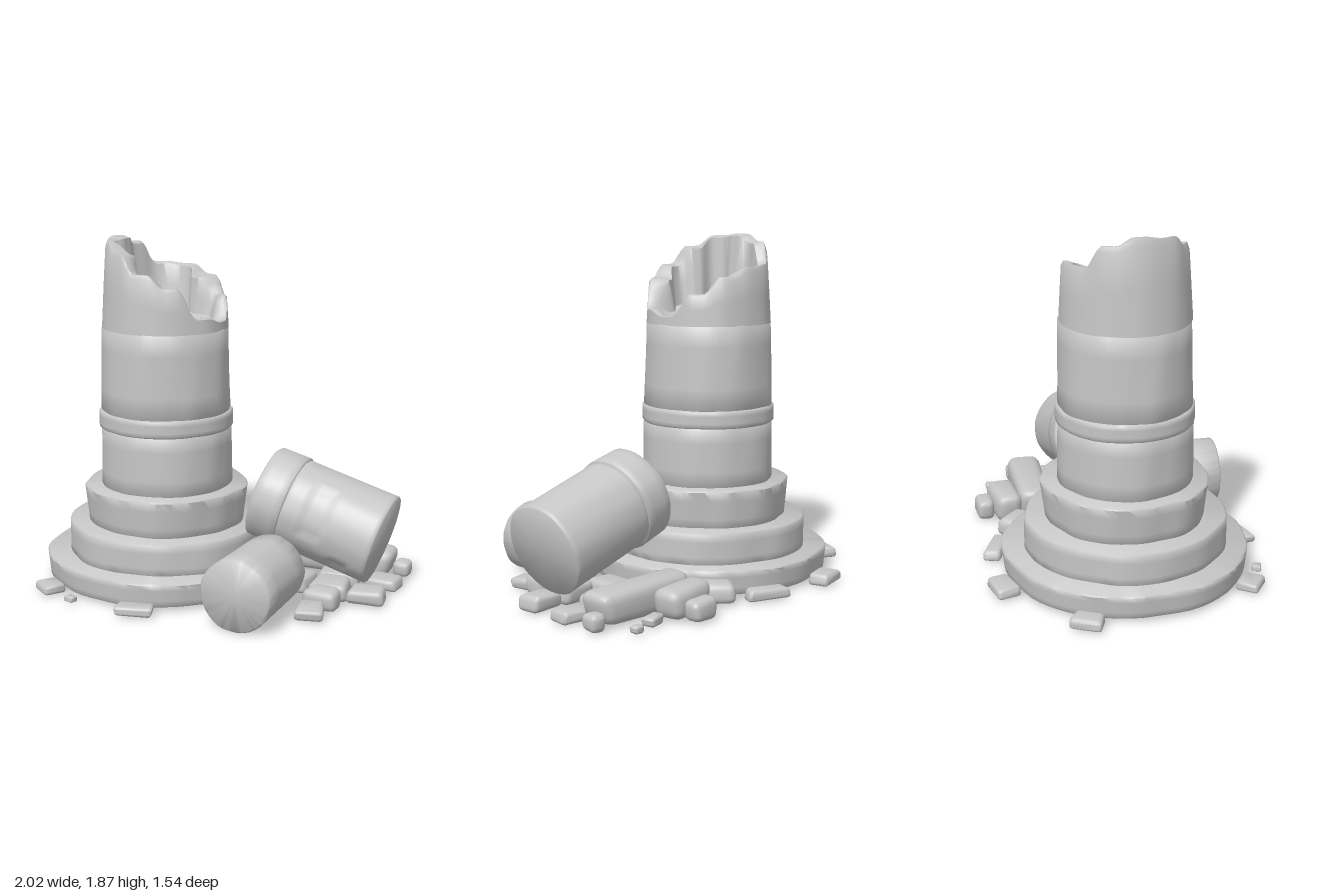
import * as THREE from 'three';
import { mergeVertices, toCreasedNormals } from 'three/addons/utils/BufferGeometryUtils.js';
import { RoundedBoxGeometry } from 'three/addons/geometries/RoundedBoxGeometry.js';

const stone = new THREE.MeshStandardMaterial({ color: 0xc6c6c6 });
stone.name = 'weathered stone';

// Moves every vertex by a rule, closes seams and rebuilds creased normals.
function reshape(geo, rule, crease) {
  geo.deleteAttribute('uv');
  geo.deleteAttribute('normal');
  geo = mergeVertices(geo, 1e-4);
  const p = geo.attributes.position, v = new THREE.Vector3();
  for (let i = 0; i < p.count; i++) {
    rule(v.fromBufferAttribute(p, i));
    p.setXYZ(i, v.x, v.y, v.z);
  }
  return toCreasedNormals(geo, crease);
}

// Gentle irregularity around the axis, as on worn stone.
const wear = (a, y, seed) =>
  0.5 * Math.sin(5 * a + seed + 3 * y) + 0.3 * Math.sin(9 * a + seed * 2.3) + 0.2 * Math.sin(14 * a - seed + 7 * y);

function lathe(profile, segments, rule) {
  const geo = new THREE.LatheGeometry(profile.map(([r, y]) => new THREE.Vector2(r, y)), segments);
  return reshape(geo, rule, 0.9);
}

// Solid worn disc with softened rims; rows of extra rings allow dents.
function drum(name, rBottom, rTop, y0, y1, amount, seed, dent = () => 0, rows = 4) {
  const e = 0.008, profile = [[0, y0], [rBottom - e, y0]];
  for (let i = 0; i <= rows; i++) {
    const t = i / rows;
    profile.push([rBottom + (rTop - rBottom) * t, y0 + e + (y1 - y0 - 2 * e) * t]);
  }
  profile.push([rTop - e, y1], [0, y1]);
  const geo = lathe(profile, 64, (v) => {
    const r = Math.hypot(v.x, v.z);
    if (r < 0.01) return;
    const a = Math.atan2(v.z, v.x);
    const k = (r + amount * wear(a, v.y, seed) - dent(a, v.y, r)) / r;
    v.x *= k;
    v.z *= k;
  });
  const mesh = new THREE.Mesh(geo, stone);
  mesh.name = name;
  return mesh;
}

// Stepped lookup around the circle: flat ledges with short steep joins.
function ledge(table, a) {
  const f = (((a / (2 * Math.PI)) % 1) + 1) % 1 * table.length;
  const i = Math.floor(f), t = THREE.MathUtils.smoothstep(f - i, 0.2, 0.8);
  return THREE.MathUtils.lerp(table[i % table.length], table[(i + 1) % table.length], t);
}

// Hollow, snapped-off top of the column.
function brokenTop() {
  const rim = [1.45, 1.48, 1.64, 1.71, 1.81, 1.87, 1.88, 1.84, 1.72, 1.71, 1.66, 1.57];
  const inner = [0.3, 0.28, 0.22, 0.25, 0.21, 0.27, 0.22, 0.26, 0.27, 0.27, 0.2, 0.28];
  // Row numbers stand in for heights; the rule turns them into real ones.
  const profile = [];
  for (let row = 0; row <= 9; row++) profile.push([0.36 - row * 0.04, row]);
  const geo = lathe(profile, 96, (v) => {
    const a = Math.atan2(v.z, v.x), row = Math.round(v.y);
    const h = ledge(rim, a), rIn = ledge(inner, a);
    const floor = Math.min(h - 0.015, 1.47 - 0.04 * Math.cos(a));
    const taper = (y) => 0.343 - (y - 1.4) * 0.06 + 0.004 * wear(a, y, 2);
    let r, y;
    if (row <= 3) {
      y = 1.4 + (h - 1.4) * [0, 0.5, 0.93, 1][row];
      r = taper(y) - (row === 3 ? 0.01 : 0);
    } else if (row === 4) {
      y = h;
      r = (taper(h) + rIn) / 2;
    } else if (row <= 7) {
      const t = (row - 5) / 2;
      y = THREE.MathUtils.lerp(h - 0.012, floor + 0.01, t);
      r = rIn - 0.03 * t + 0.006 * Math.sin(5 * a + row);
    } else {
      y = row === 8 ? floor + 0.012 * Math.sin(4 * a) : 1.46;
      r = row === 8 ? 0.13 : 0;
    }
    v.set(r * Math.cos(a), y, r * Math.sin(a));
  });
  const mesh = new THREE.Mesh(geo, stone);
  mesh.name = 'brokenTop';
  return mesh;
}

// Skewed, rounded block of rubble resting on the ground.
function rubble(x, z, w, h, d, turn, seed) {
  const s = (n) => 0.16 * Math.sin(seed * 12.9 + n * 4.7);
  const radius = Math.min(w, h, d) * 0.32;
  const geo = reshape(new RoundedBoxGeometry(w, h, d, 2, radius), (v) => {
    const X = v.x / w, Y = v.y / h, Z = v.z / d;
    v.x *= 1 + s(1) * Y + s(2) * Z;
    v.y *= 1 + s(3) * X + s(4) * Z;
    v.z *= 1 + s(5) * X + s(6) * Y;
  }, 0.9);
  const mesh = new THREE.Mesh(geo, stone);
  mesh.name = 'rubble';
  mesh.position.set(x, 0.015 + h / 2, z);
  mesh.rotation.y = turn;
  return mesh;
}

export function createModel() {
  const model = new THREE.Group();
  model.name = 'ruinedColumn';

  // Standing column: three base tiers, shaft, collar and broken end
  const column = new THREE.Group();
  column.name = 'standingColumn';
  column.position.x = -0.31;
  column.add(
    drum('baseTier', 0.65, 0.662, 0.03, 0.16, 0.01, 1),
    drum('middleTier', 0.54, 0.54, 0.15, 0.33, 0.01, 4),
    drum('upperTier', 0.425, 0.447, 0.32, 0.535, 0.01, 7),
    drum('lowerShaft', 0.36, 0.357, 0.53, 0.86, 0.006, 2),
    drum('collar', 0.366, 0.366, 0.855, 0.95, 0.004, 5),
    drum('upperShaft', 0.355, 0.343, 0.945, 1.405, 0.007, 3),
    brokenTop(),
  );
  model.add(column);

  // Large fallen drum leaning on the base, with chipped hollows
  const chip = (a, y, r) => {
    const side = a > 1.3 && a < 2.5 && y > -0.05 && y < 0.07;
    const low = a > 0.75 && a < 1.05 && y > 0.14 && y < 0.24;
    return r > 0.24 && (side || low) ? 0.01 : 0;
  };
  const fallen = new THREE.Group();
  fallen.name = 'largeFallenDrum';
  fallen.position.set(0.6, 0.437, -0.01);
  fallen.rotation.z = -1.867;
  fallen.add(
    drum('fallenBand', 0.25, 0.255, -0.34, -0.165, 0.003, 6),
    drum('fallenShaft', 0.244, 0.245, -0.175, 0.347, 0.003, 8, chip, 24),
  );
  model.add(fallen);

  // Small fallen drum lying in front
  const small = drum('smallFallenDrum', 0.183, 0.191, -0.24, 0.24, 0.003, 9);
  small.position.set(0.4, 0.199, 0.485);
  small.rotation.set(Math.PI / 2, 0, 0.05);
  model.add(small);

  // Chips fallen around the base, set along its edge: angle, length, height, depth
  const chips = [
    [-104, 0.18, 0.06, 0.12], [-67, 0.23, 0.06, 0.09], [-45, 0.19, 0.11, 0.14], [-151, 0.16, 0.06, 0.11],
    [127, 0.14, 0.05, 0.12], [111, 0.06, 0.03, 0.05], [79, 0.19, 0.05, 0.1],
  ];
  chips.forEach(([degrees, w, h, d], i) => {
    const a = THREE.MathUtils.degToRad(degrees);
    model.add(rubble(-0.31 + 0.715 * Math.cos(a), 0.715 * Math.sin(a), w, h, d, -a - Math.PI / 2, i + 1));
  });

  // Heap beside and under the large drum: x, z, width, height, depth
  const heap = [
    [0.47, -0.645, 0.16, 0.11, 0.1], [0.47, -0.525, 0.3, 0.16, 0.16], [0.62, -0.355, 0.58, 0.175, 0.19],
    [0.69, -0.53, 0.11, 0.05, 0.07], [0.83, -0.56, 0.06, 0.04, 0.05], [0.95, -0.39, 0.09, 0.09, 0.1],
    [0.67, 0.39, 0.14, 0.06, 0.17], [0.69, 0.25, 0.18, 0.11, 0.13], [0.68, 0.08, 0.2, 0.1, 0.18],
    [0.88, 0.08, 0.19, 0.08, 0.14], [0.9, -0.18, 0.18, 0.06, 0.14], [0.66, -0.14, 0.22, 0.08, 0.15],
    [0.46, 0, 0.18, 0.08, 0.2],
  ];
  heap.forEach(([x, z, w, h, d], i) => {
    // Long blocks lie straight, small ones are turned more
    const turn = (0.03 / w) * Math.sin(i * 2.4);
    model.add(rubble(x, z, w, h, d, turn, i + 8));
  });
  return model;
}
